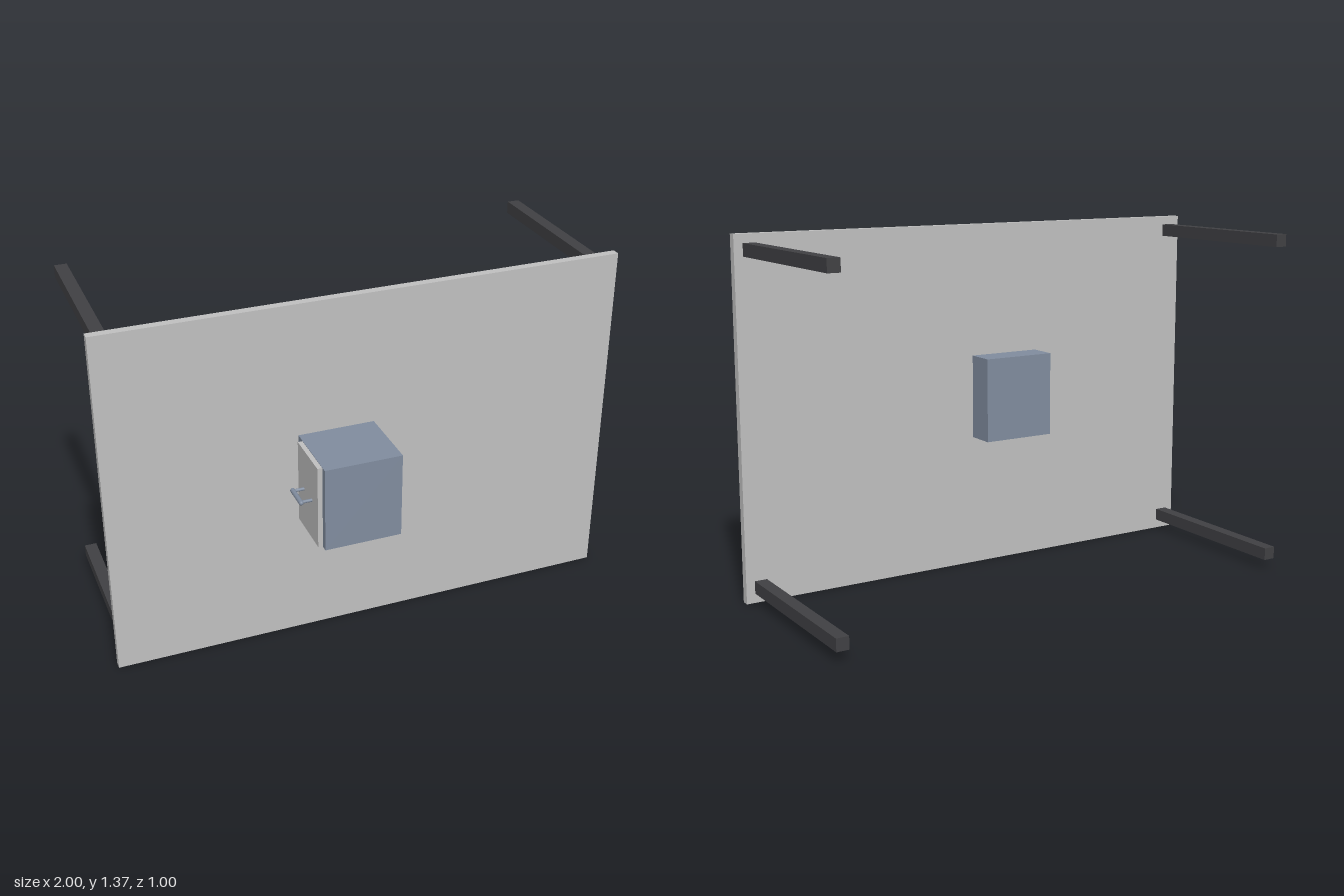
import * as THREE from 'three';

export function createModel() {
  const root = new THREE.Group();
  const panelGrey = new THREE.MeshStandardMaterial({ name: 'panelGrey', color: 0xbfbfbf });
  const boxBlue = new THREE.MeshStandardMaterial({ name: 'boxBlue', color: 0x808c9e });
  const legBlack = new THREE.MeshStandardMaterial({ name: 'legBlack', color: 0x404043 });

  // Box given by its lower and upper limits on each axis
  function block(name, material, [x0, x1], [y0, y1], [z0, z1], parent = root) {
    const mesh = new THREE.Mesh(new THREE.BoxGeometry(x1 - x0, y1 - y0, z1 - z0), material);
    mesh.position.set((x0 + x1) / 2, (y0 + y1) / 2, (z0 + z1) / 2);
    mesh.name = name;
    parent.add(mesh);
  }

  // Upright panel
  block('panel', panelGrey, [-1, 1], [0, 1.366], [0.198, 0.23]);

  // Four legs reaching backwards from the corners
  for (const x of [-0.942, 0.942]) {
    for (const y of [0.06, 1.309]) {
      block('leg', legBlack, [x - 0.024, x + 0.024], [y - 0.024, y + 0.024], [-0.5, 0.198]);
    }
  }

  // Cabinet passing through the panel, with a door on its right side
  block('cabinet', boxBlue, [-0.272, 0.022], [0.52, 0.85], [0.085, 0.5]);
  block('door', panelGrey, [-0.29, -0.272], [0.522, 0.848], [0.272, 0.475]);

  // Pull handle: two round posts and a rounded bar
  const handle = new THREE.Group();
  handle.name = 'handle';
  handle.position.set(0, 0.686, 0.373);
  for (const z of [-0.041, 0.041]) {
    const post = new THREE.Mesh(new THREE.CylinderGeometry(0.006, 0.006, 0.044, 16), boxBlue);
    post.name = 'handlePost';
    post.rotation.z = Math.PI / 2;
    post.position.set(-0.309, 0, z);
    handle.add(post);
  }
  const bar = new THREE.Mesh(new THREE.CapsuleGeometry(0.009, 0.091, 6, 16), boxBlue);
  bar.name = 'handleBar';
  bar.rotation.x = Math.PI / 2;
  bar.position.x = -0.332;
  handle.add(bar);
  root.add(handle);

  return root;
}
